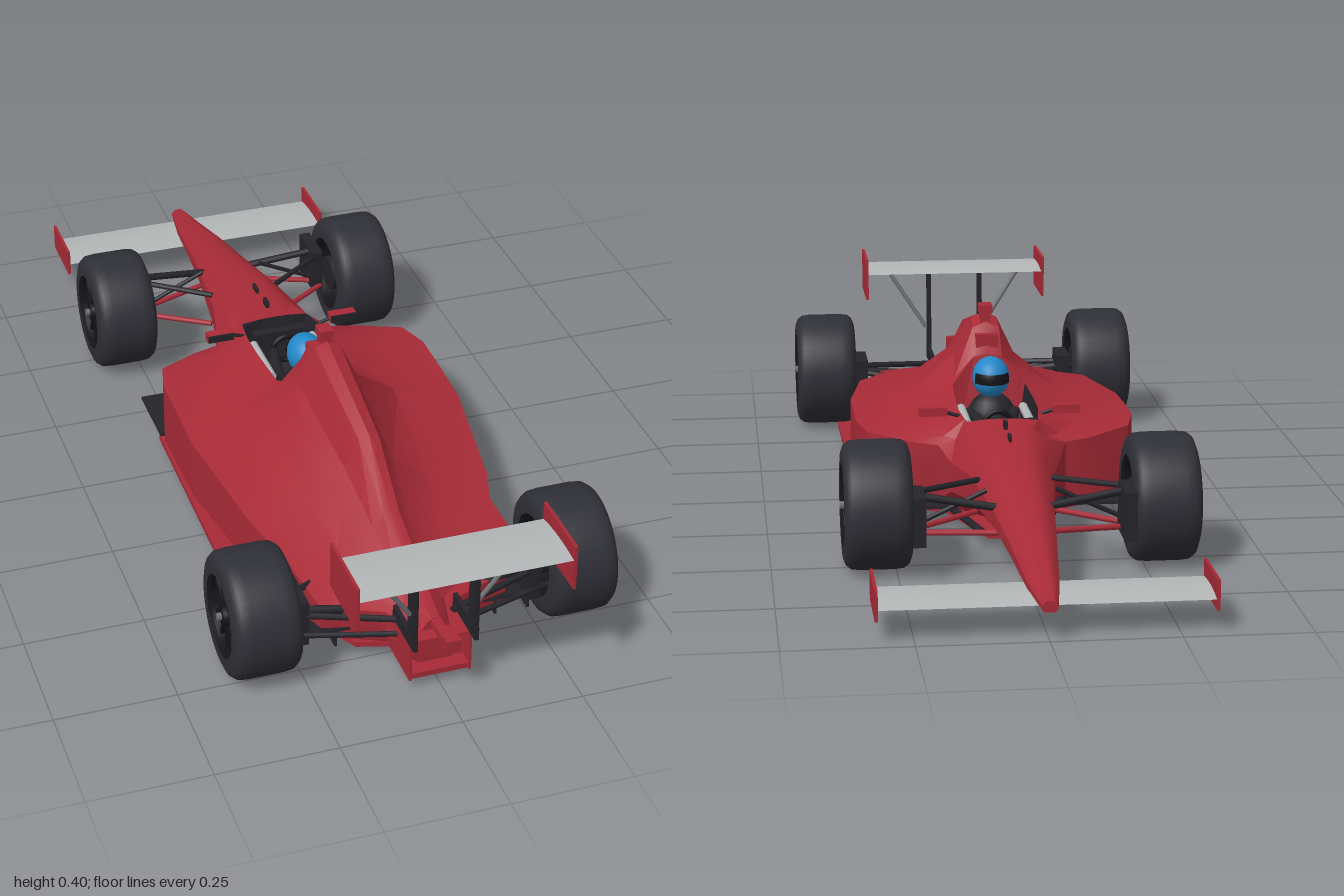
import * as THREE from 'three';
import { toCreasedNormals } from 'three/addons/utils/BufferGeometryUtils.js';

const material = (name, color, side = THREE.FrontSide) => {
  const m = new THREE.MeshStandardMaterial({ color, side });
  m.name = name;
  return m;
};

export function createModel() {
  const red = material('red paint', 0xa82b37);
  const dark = material('dark carbon', 0x24242a, THREE.DoubleSide);
  const rubber = material('tyre rubber', 0x2f2f37);
  const black = material('black rim', 0x151518, THREE.DoubleSide);
  const silver = material('silver wing', 0xb4b7b7);
  const grey = material('grey metal', 0x707276);
  const blue = material('blue helmet', 0x2488c8);
  const car = new THREE.Group();
  car.name = 'racingCar';

  const add = (name, geo, mat, x = 0, y = 0, z = 0, parent = car) => {
    const m = new THREE.Mesh(geo, mat);
    m.name = name;
    m.position.set(x, y, z);
    parent.add(m);
    return m;
  };
  const box = (name, w, h, d, mat, x, y, z) => add(name, new THREE.BoxGeometry(w, h, d), mat, x, y, z);
  const rod = (name, a, b, r, mat) => {
    const p = new THREE.Vector3(...a), q = new THREE.Vector3(...b);
    const m = add(name, new THREE.CylinderGeometry(r, r, p.distanceTo(q), 8), mat);
    m.position.copy(p).lerp(q, 0.5);
    m.quaternion.setFromUnitVectors(new THREE.Vector3(0, 1, 0), q.sub(p).normalize());
  };

  // Body: half sections run from belly centre, round the side, to the top centre.
  // Nose section from half width, bottom and top
  const nose = (z, w, b, t) => {
    const y = (k) => b + k * (t - b);
    return { z, half: [[0, b], [0.7 * w, b], [w, y(0.25)], [w, y(0.6)], [0.75 * w, y(0.85)], [0.5 * w, y(0.97)], [0.25 * w, t], [0, t]] };
  };
  // Pod section from half width, side height, rim x and y, and centre height; a centre below the rim makes the cockpit pit
  const pod = (z, w, h, rx, ry, t) => {
    const inner = t < ry ? [0.8 * rx, t] : [0.42 * rx, t - 0.12 * (t - ry)];
    const shoulder = [rx + 0.4 * (w - rx), h + 0.25 * (ry - h)];
    return { z, half: [[0, 0.025], [0.7 * w, 0.03], [w, 0.05], [w, h], shoulder, [rx, ry], inner, [0, t]] };
  };
  const sections = [
    nose(-1, 0.015, 0.058, 0.08), nose(-0.9, 0.03, 0.06, 0.1), nose(-0.75, 0.045, 0.075, 0.137),
    nose(-0.6, 0.06, 0.083, 0.168), nose(-0.4, 0.085, 0.07, 0.21), nose(-0.26, 0.115, 0.04, 0.22),
    pod(-0.2, 0.135, 0.17, 0.075, 0.22, 0.225), pod(-0.185, 0.19, 0.175, 0.078, 0.222, 0.12),
    pod(-0.13, 0.28, 0.185, 0.085, 0.227, 0.1), pod(-0.05, 0.3, 0.19, 0.085, 0.23, 0.1),
    pod(0.07, 0.3, 0.188, 0.08, 0.235, 0.12), pod(0.09, 0.3, 0.186, 0.075, 0.245, 0.3),
    pod(0.13, 0.3, 0.184, 0.07, 0.265, 0.362), pod(0.17, 0.3, 0.182, 0.065, 0.285, 0.376),
    pod(0.44, 0.262, 0.162, 0.052, 0.24, 0.31), pod(0.58, 0.22, 0.138, 0.04, 0.185, 0.213),
    pod(0.72, 0.195, 0.118, 0.035, 0.15, 0.17), pod(0.76, 0.075, 0.11, 0.03, 0.135, 0.152),
    pod(0.84, 0.045, 0.105, 0.02, 0.125, 0.137),
  ];
  const n = 14, positions = [], shell = [], pit = [];
  for (const { z, half } of sections) {
    const ring = [...half, ...half.slice(1, 7).reverse().map(([x, y]) => [-x, y])];
    ring.forEach(([x, y]) => positions.push(x, y, z));
  }
  const last = (sections.length - 1) * n;
  for (let i = 0; i < sections.length - 1; i++) {
    for (let j = 0; j < n; j++) {
      const k = (j + 1) % n, a = i * n + j, b = i * n + k, c = b + n, d = a + n;
      const inPit = sections[i].z >= -0.2 && sections[i].z < 0.07 && j >= 5 && j <= 8;
      (inPit ? pit : shell).push(a, b, c, a, c, d);
    }
  }
  for (let j = 1; j < n - 1; j++) shell.push(0, j + 1, j, last, last + j, last + j + 1);
  const hull = new THREE.BufferGeometry();
  hull.setAttribute('position', new THREE.Float32BufferAttribute(positions, 3));
  hull.setIndex([...shell, ...pit]);
  hull.addGroup(0, shell.length, 0);
  hull.addGroup(shell.length, pit.length, 1);
  add('bodyAndCockpit', toCreasedNormals(hull, 0.5), [red, dark]);

  // Floor plate
  const edge = [[0.05, -0.4], [0.12, -0.2], [0.3, -0.1], [0.308, 0.56], [0.23, 0.56], [0.13, 0.74], [0.062, 0.76], [0.062, 0.87]];
  const outline = [...edge, ...edge.slice().reverse().map(([x, z]) => [-x, z])];
  const floor = new THREE.ExtrudeGeometry(new THREE.Shape(outline.map(([x, z]) => new THREE.Vector2(x, z))), { depth: 0.012, bevelEnabled: false });
  add('floor', floor.rotateX(Math.PI / 2), red, 0, 0.034, 0);
  box('keel', 0.16, 0.01, 0.9, red, 0, 0.023, 0.3);

  // Rear box, tail beam and tail light
  box('rearBoxTop', 0.125, 0.006, 0.13, red, 0, 0.108, 0.805);
  box('tailBeam', 0.02, 0.015, 0.12, red, 0, 0.127, 0.86);
  box('tailLight', 0.03, 0.03, 0.02, red, 0, 0.137, 0.93);

  // Roll hoop camera and headrest
  box('cameraNeck', 0.022, 0.03, 0.03, red, 0, 0.37, 0.15);
  box('camera', 0.03, 0.018, 0.035, red, 0, 0.39, 0.15);
  box('headrest', 0.07, 0.04, 0.03, red, 0, 0.25, 0.09);
  box('intakeFrame', 0.05, 0.05, 0.03, red, 0, 0.315, 0.115);

  // Driver
  add('driverTorso', new THREE.SphereGeometry(0.06, 16, 12), dark, 0, 0.165, 0.02).scale.set(0.95, 1.1, 0.8);
  add('helmet', new THREE.SphereGeometry(0.045, 24, 18), blue, 0, 0.262, 0.026).scale.set(0.9, 1, 1.12);
  add('visor', new THREE.SphereGeometry(0.0465, 16, 6, Math.PI * 1.15, Math.PI * 0.7, 1.25, 0.5), black, 0, 0.262, 0.026)
    .scale.set(0.9, 1, 1.12);
  add('steeringWheel', new THREE.TorusGeometry(0.03, 0.006, 8, 20), black, 0, 0.19, -0.12);
  box('dashboard', 0.12, 0.035, 0.02, dark, 0, 0.195, -0.165);
  box('noseSensor', 0.008, 0.02, 0.025, dark, 0, 0.225, -0.26);
  box('noseFin', 0.006, 0.018, 0.03, dark, 0, 0.217, -0.34);

  // Wings with arched aerofoil sections and end plates
  const wing = (name, span, chord, y, z, plateH, plateY) => {
    const s = new THREE.Shape();
    s.moveTo(-chord / 2, 0);
    s.quadraticCurveTo(0, 0.014, chord / 2, 0.004);
    s.quadraticCurveTo(0, 0, -chord / 2, 0);
    const g = new THREE.ExtrudeGeometry(s, { depth: span, bevelEnabled: false, curveSegments: 10 });
    g.translate(0, 0, -span / 2).rotateY(-Math.PI / 2);
    add(name, toCreasedNormals(g, 0.6), silver, 0, y, z);
    for (const d of [-1, 1]) box(name + 'EndPlate', 0.006, plateH, chord + 0.006, red, d * span / 2, plateY, z);
  };
  wing('frontWing', 0.64, 0.135, 0.063, -0.905, 0.06, 0.072);
  wing('rearWing', 0.434, 0.15, 0.33, 0.922, 0.098, 0.318);

  // Wheels: tyre, rim barrel, hub and spokes
  const lathe = (pts) => toCreasedNormals(new THREE.LatheGeometry(pts.map(([r, y]) => new THREE.Vector2(r, y)), 40), 0.7);
  const wheel = (name, x, z, width) => {
    const g = new THREE.Group(), h = width / 2;
    g.name = name;
    g.position.set(x, 0.132, z);
    g.rotation.z = x > 0 ? -Math.PI / 2 : Math.PI / 2;
    car.add(g);
    const tread = [[0.131, 0.5], [0.129, 0.78], [0.121, 0.93], [0.108, 1], [0.085, 1]].map(([r, k]) => [r, k * h]);
    add('tyre', lathe([...tread.slice().reverse().map(([r, y]) => [r, -y]), ...tread]), rubber, 0, 0, 0, g);
    add('rimBarrel', lathe([[0.088, -h], [0.08, -h * 0.9], [0.075, 0], [0.08, h * 0.9], [0.088, h]]), black, 0, 0, 0, g);
    add('hub', new THREE.CylinderGeometry(0.02, 0.024, 0.03, 16), black, 0, h * 0.72, 0, g);
    add('hubNut', new THREE.CylinderGeometry(0.008, 0.008, 0.012, 6), grey, 0, h * 0.72 + 0.018, 0, g);
    add('brakeDrum', new THREE.CylinderGeometry(0.04, 0.04, width * 0.5, 20), dark, 0, -h * 0.4, 0, g);
    for (let i = 0; i < 12; i++) {
      const spoke = new THREE.BoxGeometry(0.068, 0.012, 0.011).translate(0.047, 0, 0);
      add('spoke', spoke, black, 0, h * 0.72, 0, g).rotation.y = i * Math.PI / 6;
    }
  };

  for (const s of [-1, 1]) {
    wheel('rearWheel', s * 0.33, 0.7, 0.138);
    wheel('frontWheel', s * 0.288, -0.5, 0.136);

    // Front suspension
    rod('frontUpperArm', [s * 0.05, 0.14, -0.58], [s * 0.22, 0.165, -0.56], 0.008, dark);
    rod('frontUpperRearArm', [s * 0.075, 0.16, -0.44], [s * 0.22, 0.165, -0.54], 0.006, dark);
    rod('frontLowerArm', [s * 0.05, 0.095, -0.6], [s * 0.22, 0.085, -0.55], 0.006, red);
    rod('frontLowerRearArm', [s * 0.08, 0.09, -0.43], [s * 0.22, 0.085, -0.53], 0.006, red);
    rod('frontPushrod', [s * 0.07, 0.165, -0.54], [s * 0.22, 0.095, -0.54], 0.005, dark);
    box('frontUpright', 0.025, 0.1, 0.1, dark, s * 0.21, 0.125, -0.575);

    // Rear suspension
    rod('rearUpperArm', [s * 0.05, 0.115, 0.8], [s * 0.28, 0.13, 0.73], 0.007, dark);
    rod('rearUpperFrontArm', [s * 0.12, 0.12, 0.6], [s * 0.28, 0.13, 0.69], 0.007, dark);
    rod('rearLowerArm', [s * 0.05, 0.08, 0.8], [s * 0.28, 0.085, 0.74], 0.006, dark);
    rod('rearLowerFrontArm', [s * 0.1, 0.06, 0.6], [s * 0.28, 0.08, 0.68], 0.006, red);
    rod('driveShaft', [s * 0.04, 0.1, 0.74], [s * 0.28, 0.125, 0.71], 0.009, dark);
    box('rearUpright', 0.03, 0.1, 0.1, dark, s * 0.245, 0.11, 0.7);

    // Rear box walls, diffuser and front splitter plates
    box('rearBoxWall', 0.005, 0.09, 0.13, red, s * 0.062, 0.065, 0.808);
    box('diffuser', 0.17, 0.006, 0.2, dark, s * 0.155, 0.05, 0.64).rotation.x = -0.2;
    for (const x of [0.09, 0.17, 0.24]) box('diffuserFin', 0.005, 0.04, 0.17, dark, s * x, 0.05, 0.65);
    box('splitterPlate', 0.19, 0.006, 0.16, dark, s * 0.207, 0.045, -0.16);
    rod('splitterStay', [s * 0.06, 0.03, -0.38], [s * 0.13, 0.05, -0.2], 0.008, dark);

    // Rear wing supports
    box('wingPillar', 0.009, 0.21, 0.036, dark, s * 0.063, 0.225, 0.88);
    box('pillarFoot', 0.009, 0.03, 0.12, dark, s * 0.063, 0.125, 0.84);
    rod('wingStrut', [s * 0.07, 0.19, 0.88], [s * 0.16, 0.327, 0.9], 0.005, grey);

    // Mirrors, driver's arms and cockpit padding
    box('mirror', 0.06, 0.018, 0.022, red, s * 0.142, 0.232, -0.15);
    box('mirrorGlass', 0.058, 0.016, 0.004, dark, s * 0.142, 0.232, -0.138);
    rod('mirrorStay', [s * 0.085, 0.22, -0.15], [s * 0.125, 0.232, -0.15], 0.004, dark);
    rod('driverArm', [s * 0.05, 0.19, 0], [s * 0.03, 0.19, -0.11], 0.012, dark);
    rod('cockpitPadding', [s * 0.068, 0.2, -0.14], [s * 0.068, 0.2, 0], 0.01, silver);
  }
  return car;
}
